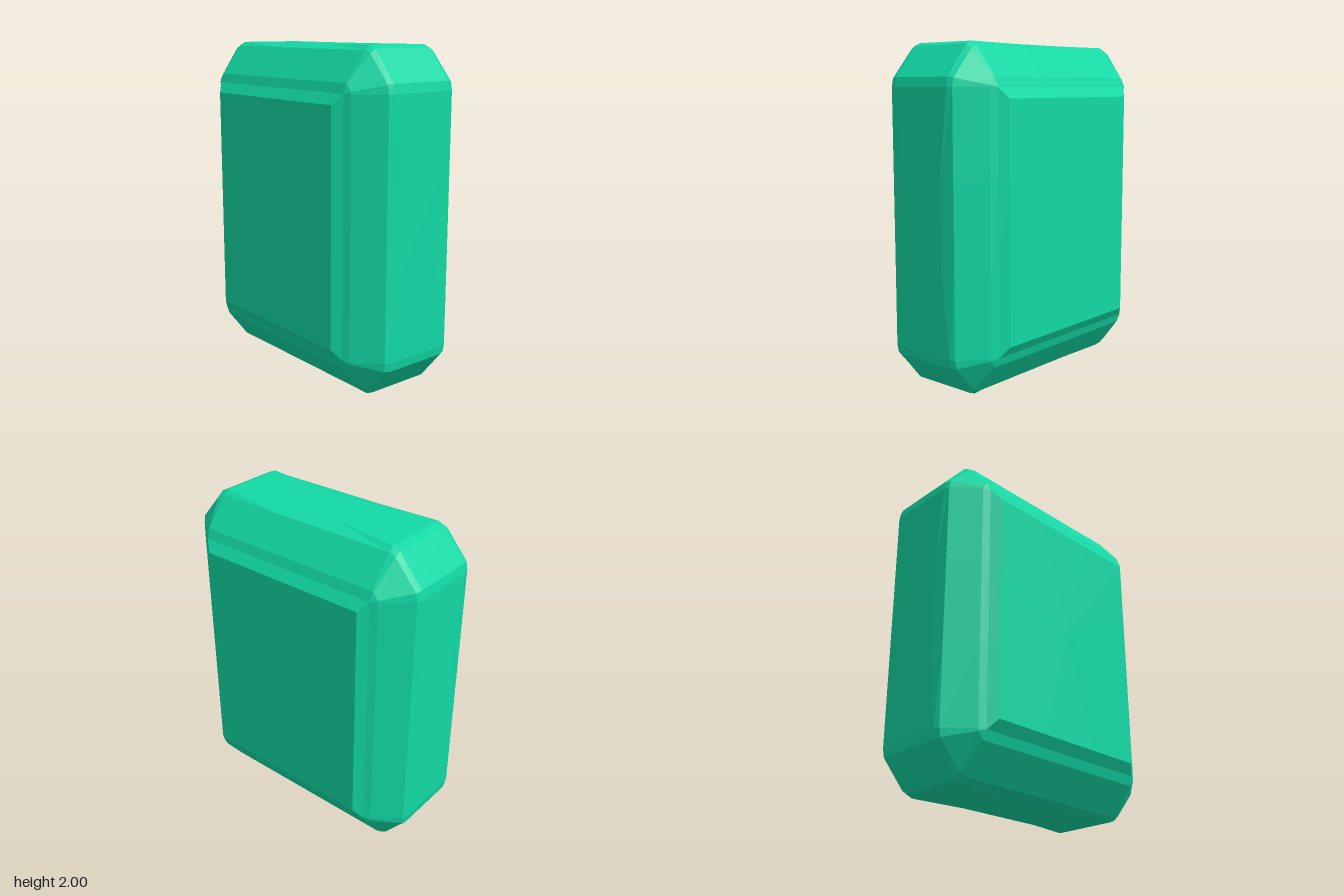
import * as THREE from 'three';

// Corner of the inner rectangle, where the bevels begin
const CX = 0.6, CY = 0.75;

// Bevel rings from front to girdle: z, outward offsets, and z at the edge middles
const RINGS = [
  { z: 0.435, dx: -0.05, dy: -0.06 },
  { z: 0.393, dx: 0, dy: 0 },
  { z: 0.372, dx: 0.04, dy: 0.055 },
  { z: 0.24, dx: 0.19, dy: 0.225 },
  { z: 0.205, dx: 0.2, dy: 0.25, mid: 0.15 },
];
// Share of the offset taken by each point of a clipped corner
const CORNER = [[1, 0], [0.95, 0.22], [0.22, 0.93], [0, 1]];

// One closed loop of 24 points, counter-clockwise seen from the front
function ringPoints({ z, dx, dy, mid = z }, side) {
  const sharp = dx <= 0;
  const quadrant = [
    [CX + dx, 0.25, mid],
    ...CORNER.map(([u, v]) => [CX + dx * (sharp ? 1 : u), CY + dy * (sharp ? 1 : v), z]),
    [0.2, CY + dy, mid],
  ];
  const loop = [];
  for (const [sx, sy] of [[1, 1], [-1, 1], [-1, -1], [1, -1]]) {
    const q = sx * sy > 0 ? quadrant : [...quadrant].reverse();
    for (const [x, y, pz] of q) loop.push(new THREE.Vector3(sx * x, 1 + sy * y, side * pz));
  }
  return loop;
}

function gemGeometry() {
  const loops = [
    ...RINGS.map((r) => ringPoints(r, 1)),
    ...[...RINGS].reverse().map((r) => ringPoints(r, -1)),
  ];
  const pos = [];
  const tri = (a, b, c) => {
    const area = b.clone().sub(a).cross(c.clone().sub(a)).length();
    if (area > 1e-7) for (const p of [a, b, c]) pos.push(p.x, p.y, p.z);
  };
  // Facet bands between neighbouring loops
  for (let i = 0; i < loops.length - 1; i++) {
    const f = loops[i], b = loops[i + 1], n = f.length;
    for (let j = 0; j < n; j++) {
      const k = (j + 1) % n;
      tri(f[j], b[j], b[k]);
      tri(f[j], b[k], f[k]);
    }
  }
  // Flat tables on the front and back
  const front = loops[0], back = loops[loops.length - 1];
  const fc = new THREE.Vector3(0, 1, RINGS[0].z), bc = new THREE.Vector3(0, 1, -RINGS[0].z);
  front.forEach((p, j) => {
    const k = (j + 1) % front.length;
    tri(fc, p, front[k]);
    tri(bc, back[k], back[j]);
  });
  const geo = new THREE.BufferGeometry();
  geo.setAttribute('position', new THREE.Float32BufferAttribute(pos, 3));
  geo.computeVertexNormals();
  return geo;
}

export function createModel() {
  const group = new THREE.Group();
  group.name = 'emeraldGem';
  const material = new THREE.MeshStandardMaterial({ color: 0x12d9a5, flatShading: true });
  const gem = new THREE.Mesh(gemGeometry(), material);
  gem.name = 'cutStone';
  group.add(gem);
  return group;
}
